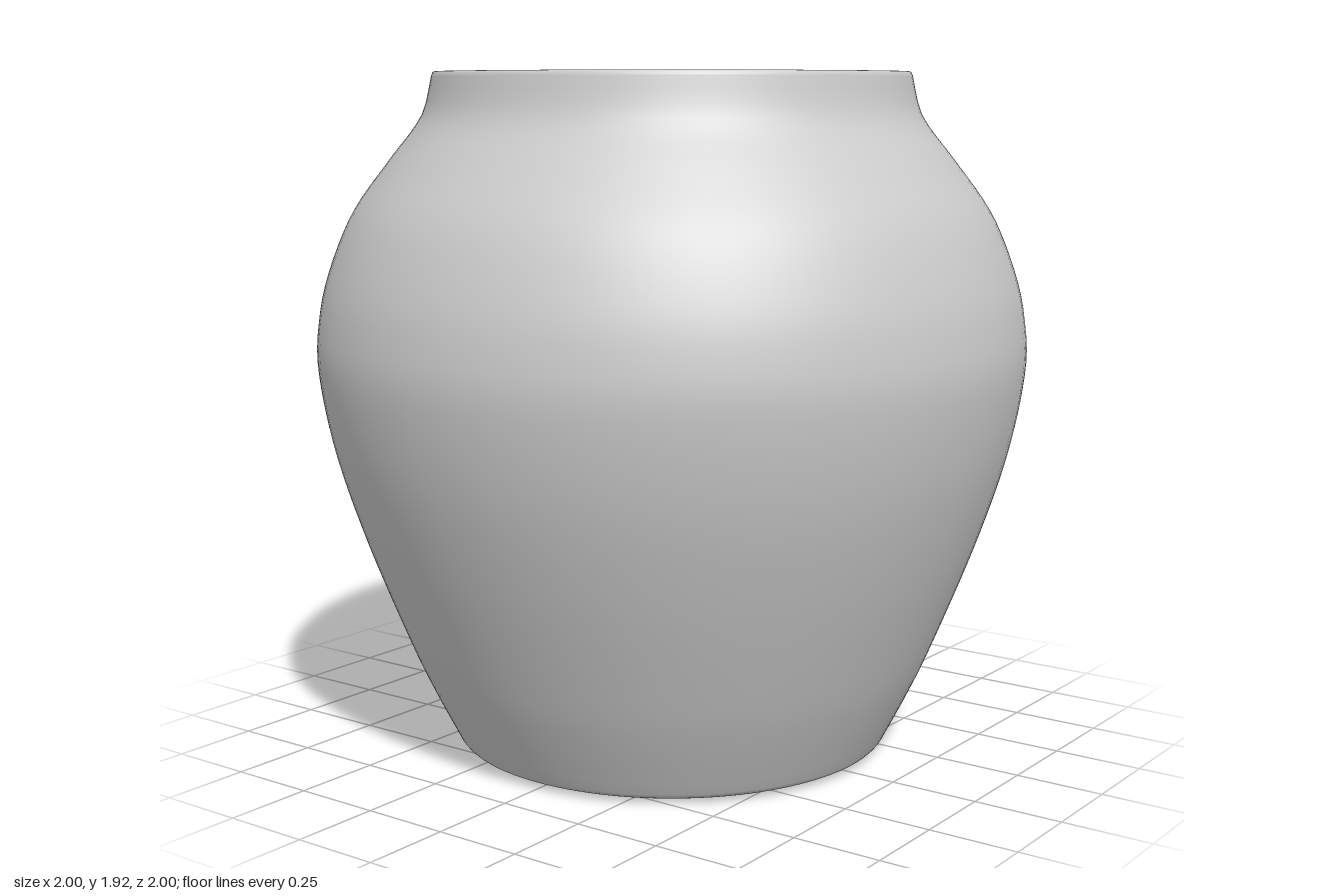
import * as THREE from 'three';

const SEGMENTS = 128;

// Smooth curve through [radius, height] pairs
function curve(pairs, divisions) {
  return new THREE.SplineCurve(pairs.map(([r, y]) => new THREE.Vector2(r, y))).getSpacedPoints(divisions);
}

function lathePart(name, points, material) {
  const mesh = new THREE.Mesh(new THREE.LatheGeometry(points, SEGMENTS), material);
  mesh.name = name;
  return mesh;
}

export function createModel() {
  const material = new THREE.MeshStandardMaterial({ color: 0xcccccc });
  const group = new THREE.Group();
  group.name = 'jar';

  // Slightly domed underside
  const base = [[0, 0], [0.2, 0], [0.4, 0.004], [0.58, 0.01]].map(([r, y]) => new THREE.Vector2(r, y));
  group.add(lathePart('base', base, material));

  // Rounded foot, swelling belly, shoulder and neck
  const foot = curve([[0.58, 0.01], [0.61, 0.015], [0.625, 0.03]], 6);
  const body = curve([
    [0.625, 0.03], [0.7, 0.18], [0.76, 0.315], [0.875, 0.61], [0.957, 0.87], [0.998, 1.1],
    [0.992, 1.24], [0.962, 1.37], [0.895, 1.53], [0.795, 1.67], [0.72, 1.765], [0.69, 1.82], [0.67, 1.907],
  ], 56);
  group.add(lathePart('outerWall', [...foot, ...body.slice(1)], material));

  // Thin rounded lip
  const lip = curve([[0.67, 1.907], [0.665, 1.917], [0.656, 1.918], [0.648, 1.907]], 8);
  group.add(lathePart('lip', lip, material));

  // Inside of the neck, down to the throat
  const neck = curve([[0.648, 1.907], [0.645, 1.85], [0.64, 1.81], [0.645, 1.785]], 10);
  // Hollow interior, following the outer wall
  const hollow = curve([
    [0.645, 1.785], [0.68, 1.74], [0.76, 1.645], [0.857, 1.51], [0.922, 1.36], [0.954, 1.22],
    [0.958, 1.1], [0.917, 0.87], [0.836, 0.61], [0.72, 0.32], [0.66, 0.19], [0.61, 0.08],
  ], 50);
  const corner = curve([[0.61, 0.08], [0.595, 0.06], [0.57, 0.05]], 5);
  group.add(lathePart('innerWall', [...neck, ...hollow.slice(1), ...corner.slice(1)], material));

  // Inside floor
  group.add(lathePart('floor', [new THREE.Vector2(0.57, 0.05), new THREE.Vector2(0, 0.04)], material));

  return group;
}
